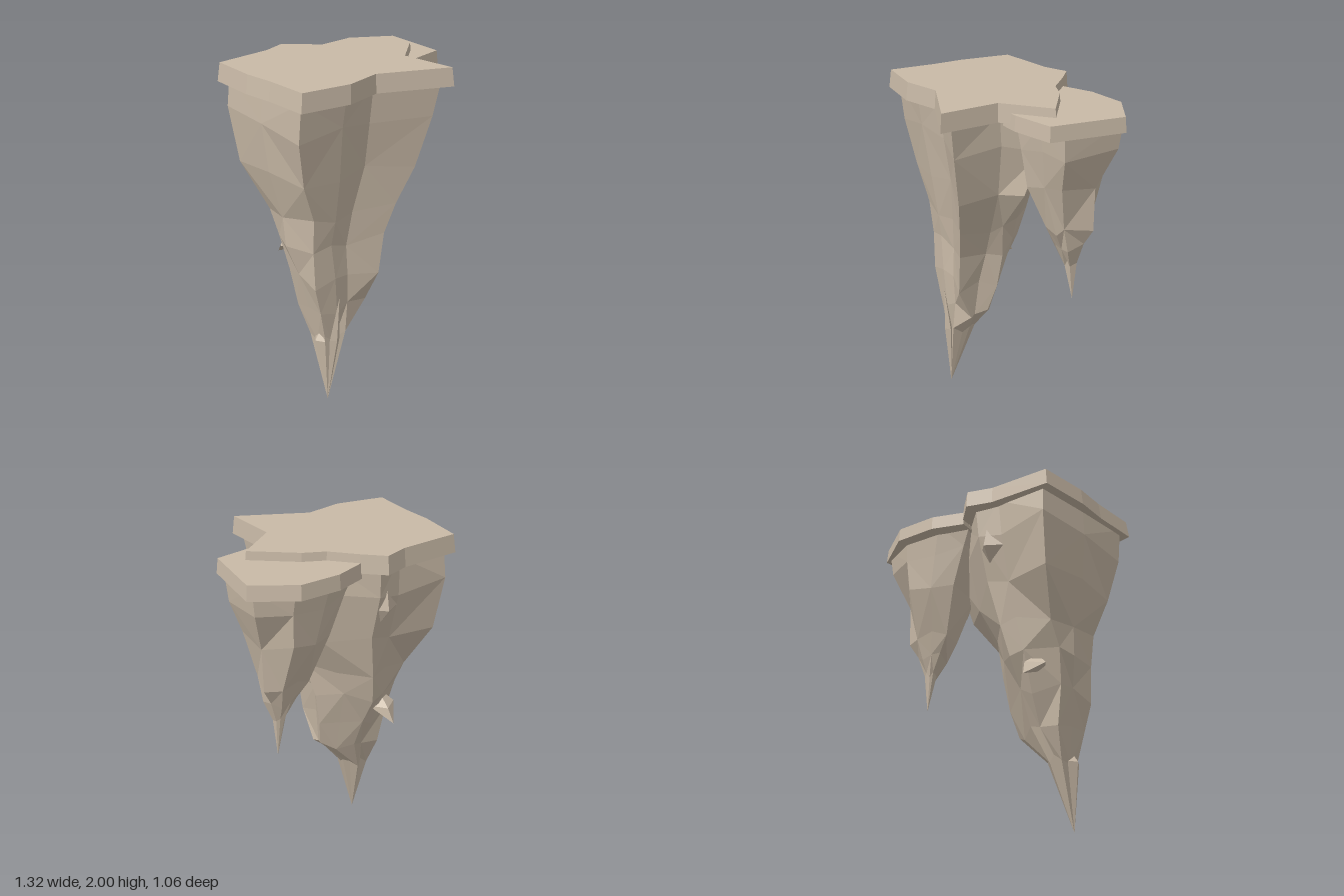
import * as THREE from 'three';

// Faceted skin through rings of [x, y, z], listed from top to bottom
function loft(rings, capped) {
  const pos = [];
  const tri = (a, b, c) => {
    const p = new THREE.Vector3(...a), q = new THREE.Vector3(...b), r = new THREE.Vector3(...c);
    if (q.sub(p).cross(r.sub(p)).length() > 1e-8) pos.push(...a, ...b, ...c);
  };
  const n = rings[0].length;
  for (let k = 0; k + 1 < rings.length; k++) {
    const a = rings[k], b = rings[k + 1];
    for (let i = 0; i < n; i++) {
      const j = (i + 1) % n;
      if ((i + k) % 2) {
        tri(a[i], a[j], b[j]);
        tri(a[i], b[j], b[i]);
      } else {
        tri(a[i], a[j], b[i]);
        tri(a[j], b[j], b[i]);
      }
    }
  }
  if (capped) {
    [[rings[0], 1], [rings[rings.length - 1], -1]].forEach(([ring, up]) => {
      const flat = ring.map(p => new THREE.Vector2(p[0], p[2]));
      THREE.ShapeUtils.triangulateShape(flat, []).forEach(([i, j, k]) => {
        const [a, b, c] = [ring[i], ring[j], ring[k]];
        const ny = (b[2] - a[2]) * (c[0] - a[0]) - (b[0] - a[0]) * (c[2] - a[2]);
        if (ny * up > 0) tri(a, b, c);
        else tri(a, c, b);
      });
    });
  }
  const geo = new THREE.BufferGeometry();
  geo.setAttribute('position', new THREE.Float32BufferAttribute(pos, 3));
  geo.computeVertexNormals();
  return geo;
}

// Slab with a slightly flared lower edge
function slab(outline, top, bottom, cx, cz) {
  const ring = (y, s) => outline.map(([x, z]) => [cx + (x - cx) * s, y, cz + (z - cz) * s]);
  return loft([ring(top, 1), ring(bottom, 1.022)], true);
}

// Outline fitted into the box [y, xMin, xMax, zMin, zMax] of every level;
// nudges [level, corner, dx, dz] push single corners in or out
function rock(outline, levels, rough = 0, nudges = []) {
  const xs = outline.map(p => p[0]), zs = outline.map(p => p[1]);
  const x0 = Math.min(...xs), x1 = Math.max(...xs), z0 = Math.min(...zs), z1 = Math.max(...zs);
  const rings = levels.map(([y, a, b, c, d], k) => outline.map(([x, z], i) => {
    const inner = k > 0 && k < levels.length - 1;
    return [
      a + (b - a) * (x - x0) / (x1 - x0),
      y + (inner ? rough * Math.sin(i * 2.4 + k * 1.7) : 0),
      c + (d - c) * (z - z0) / (z1 - z0),
    ];
  }));
  nudges.forEach(([k, i, dx, dz]) => {
    rings[k][i][0] += dx;
    rings[k][i][2] += dz;
  });
  return loft(rings, false);
}

// Four-sided splinter between two points
const diamond = [[-1, 0], [0, -1], [1, 0], [0, 1]];
function shard([tx, ty, tz], [mx, my, mz], rx, rz, [bx, by, bz]) {
  return rock(diamond, [
    [ty, tx, tx, tz, tz],
    [my, mx - rx, mx + rx, mz - rz, mz + rz],
    [by, bx, bx, bz, bz],
  ]);
}

export function createModel() {
  const group = new THREE.Group();
  const stone = new THREE.MeshStandardMaterial({ color: 0xc9baa7 });
  stone.name = 'stone';
  const add = (name, geo) => {
    const mesh = new THREE.Mesh(geo, stone);
    mesh.name = name;
    group.add(mesh);
  };

  // Flat platforms
  add('mainPlatform', slab([
    [-0.64, -0.325], [-0.28, -0.4], [-0.14, -0.47], [-0.02, -0.38], [0.12, -0.26],
    [0.25, -0.22], [0.505, -0.06], [0.28, 0.17], [0.33, 0.52], [-0.09, 0.38],
    [-0.315, 0.46], [-0.615, 0.45], [-0.625, 0.17], [-0.648, -0.02],
  ], 2, 1.893, -0.05, 0));
  add('sidePlatform', slab([
    [-0.02, -0.385], [0.155, -0.48], [0.4, -0.525], [0.65, -0.405], [0.632, 0.035],
    [0.38, 0.115], [0.2, 0.13], [0.06, 0],
  ], 1.95, 1.863, 0.3, -0.2));

  // Hanging rock under the main platform
  add('mainRock', rock([
    [-0.585, -0.3], [-0.28, -0.35], [-0.14, -0.4], [0.1, -0.23], [0.31, -0.08], [0.25, 0.15],
    [0.3, 0.46], [-0.09, 0.36], [-0.3, 0.41], [-0.585, 0.41], [-0.59, 0.05],
  ], [
    [1.93, -0.6, 0.32, -0.4, 0.46],
    [1.72, -0.61, 0.315, -0.38, 0.43],
    [1.43, -0.575, 0.285, -0.3, 0.375],
    [1.18, -0.495, 0.11, -0.24, 0.33],
    [1.0, -0.485, 0.045, -0.19, 0.305],
    [0.79, -0.43, 0.01, -0.09, 0.3],
    [0.59, -0.385, -0.02, 0, 0.28],
    [0.41, -0.345, -0.2, 0.08, 0.255],
    [0, -0.315, -0.315, 0.23, 0.23],
  ], 0.025, [
    // back left overhang
    [1, 0, 0, -0.03], [2, 0, 0, -0.04], [3, 0, 0.02, 0.06], [4, 0, 0.02, 0.1], [5, 0, 0, 0.06],
    // front left and front right ridges
    [1, 9, 0.01, 0], [2, 9, 0.035, 0], [3, 9, 0.045, 0], [4, 9, 0.045, 0],
    [1, 6, -0.03, 0], [2, 6, -0.075, 0], [2, 5, -0.03, 0], [6, 6, 0, -0.07],
    // right ridge
    [2, 4, 0, 0.06], [2, 3, 0, 0.03], [3, 4, 0, 0.09], [3, 3, 0, 0.03], [4, 4, 0, 0.04],
  ]));

  // Hanging rock under the side platform
  add('sideRock', rock([
    [-0.02, -0.33], [0.17, -0.42], [0.4, -0.47], [0.62, -0.41],
    [0.63, -0.05], [0.5, 0.03], [0.33, 0.09], [0.13, 0],
  ], [
    [1.92, -0.03, 0.635, -0.47, 0.09],
    [1.75, 0.04, 0.615, -0.45, 0.065],
    [1.54, 0.13, 0.55, -0.43, 0.03],
    [1.27, 0.235, 0.53, -0.33, -0.07],
    [1.15, 0.305, 0.475, -0.29, -0.13],
    [1.04, 0.37, 0.435, -0.26, -0.19],
    [0.81, 0.42, 0.42, -0.235, -0.235],
  ], 0.02, [[2, 3, -0.01, 0.08], [3, 4, -0.04, 0]]));

  // Splinters and chips
  add('frontSplinter', shard([-0.265, 0.68, 0.285], [-0.28, 0.4, 0.255], 0.035, 0.025, [-0.315, 0, 0.23]));
  add('leftSplinter', shard([-0.34, 0.46, 0.2], [-0.345, 0.4, 0.2], 0.035, 0.05, [-0.315, 0, 0.23]));
  add('backChip', shard([-0.32, 1.0, -0.06], [-0.33, 0.91, -0.1], 0.085, 0.085, [-0.35, 0.82, -0.22]));
  add('backCrag', shard([-0.2, 1.88, -0.34], [-0.2, 1.64, -0.31], 0.1, 0.08, [-0.16, 1.4, -0.2]));
  return group;
}
